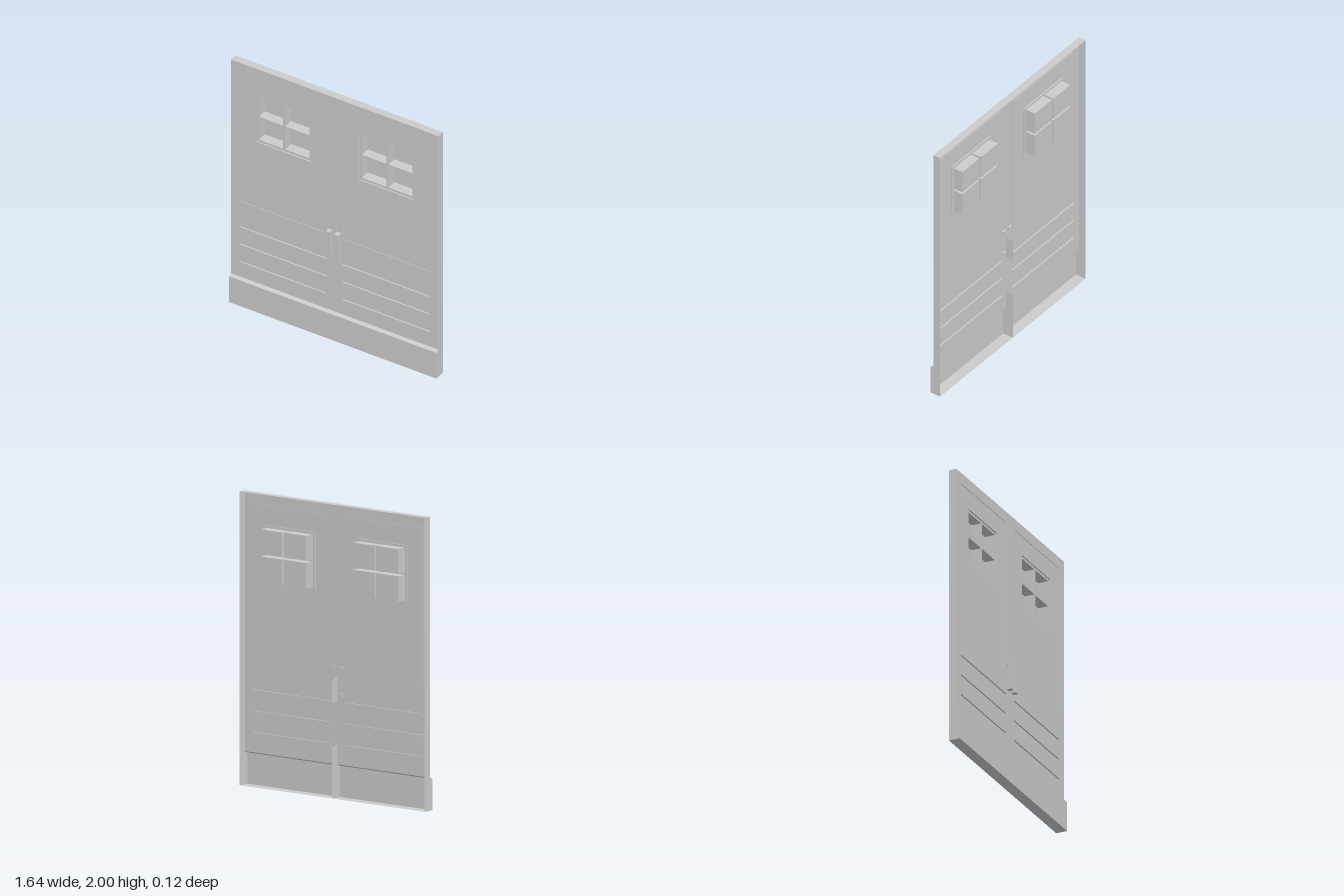
import * as THREE from 'three';

const W = 0.82, H = 2, FRONT = 0.025, BACK = -0.031, KICK = 0.05;
const material = new THREE.MeshStandardMaterial({ color: 0xcccccc, side: THREE.DoubleSide });

// Rectangles are [x0, y0, x1, y1]; corners run counter-clockwise
const corners = ([x0, y0, x1, y1]) => [[x0, y0], [x1, y0], [x1, y1], [x0, y1]];
const toPath = (points, Type) => new Type(points.map(([x, y]) => new THREE.Vector2(x, y)));

function add(parent, name, geometry) {
  const mesh = new THREE.Mesh(geometry, material);
  mesh.name = name;
  parent.add(mesh);
  return mesh;
}

// Flat sheet facing +z with rectangular openings
function sheet(parent, name, rect, z, holes = []) {
  const shape = toPath(corners(rect), THREE.Shape);
  shape.holes = holes.map((h) => toPath(corners(h).reverse(), THREE.Path));
  return add(parent, name, new THREE.ShapeGeometry(shape).translate(0, 0, z));
}

// One flat-shaded quad per set of four corners
function quads(parent, name, list) {
  const positions = list.flatMap(([a, b, c, d]) => [a, b, c, a, c, d].flat());
  const geometry = new THREE.BufferGeometry();
  geometry.setAttribute('position', new THREE.Float32BufferAttribute(positions, 3));
  geometry.computeVertexNormals();
  return add(parent, name, geometry);
}

// Recess sunk from z0 to z1: four inward walls and a floor
function recess(parent, name, rect, z0, z1, holes) {
  const group = new THREE.Group();
  group.name = name;
  parent.add(group);
  const c = corners(rect);
  quads(group, name + 'Walls', c.map((p, i) => {
    const q = c[(i + 1) % 4];
    return [[...p, z0], [...q, z0], [...q, z1], [...p, z1]];
  }));
  sheet(group, name + 'Floor', rect, z1, holes);
}

// Upright wall across the thickness at a given x, from [z, y] points
function crossWall(parent, name, x, profile) {
  const shape = toPath(profile.map(([z, y]) => [-z, y]), THREE.Shape);
  const geometry = new THREE.ShapeGeometry(shape).rotateY(Math.PI / 2);
  if (x < 0) geometry.scale(-1, 1, 1).setIndex([...geometry.index.array].reverse());
  if (x < 0) geometry.computeVertexNormals();
  add(parent, name, geometry.translate(x, 0, 0));
}

export function createModel() {
  const model = new THREE.Group();
  model.name = 'doubleDoor';

  const mirror = ([x0, y0, x1, y1], s) => (s > 0 ? [x0, y0, x1, y1] : [-x1, y0, -x0, y1]);
  const panel = [0.065, 0.85, 0.753, 1.92];
  const windowFrame = [0.187, 1.39, 0.625, 1.785];
  const slots = [0.355, 0.5, 0.645].map((y) => [0.06, y - 0.009, 0.753, y + 0.009]);
  const panes = [];
  for (const [x0, x1] of [[0.207, 0.4], [0.416, 0.608]])
    for (const [y0, y1] of [[1.408, 1.583], [1.599, 1.768]]) panes.push([x0, y0, x1, y1]);

  // Thin front skin
  const openings = [1, -1].flatMap((s) => [panel, ...slots].map((r) => mirror(r, s)));
  sheet(model, 'frontSkin', [-W, 0.225, W, H], FRONT, openings);

  // Kick plate with a bevelled upper edge
  sheet(model, 'kickPlate', [-W, 0, W, 0.213], KICK);
  quads(model, 'kickPlateBevel', [
    [[-W, 0.213, KICK], [W, 0.213, KICK], [W, 0.225, FRONT], [-W, 0.225, FRONT]],
  ]);

  // Outer rim, open at the back
  quads(model, 'topAndBottomRim', [
    [[-W, H, FRONT], [W, H, FRONT], [W, H, BACK], [-W, H, BACK]],
    [[-W, 0, BACK], [W, 0, BACK], [W, 0, KICK], [-W, 0, KICK]],
  ]);
  const rim = [[KICK, 0], [BACK, 0], [BACK, H], [FRONT, H], [FRONT, 0.225], [KICK, 0.213]];
  crossWall(model, 'leftRim', W, rim);
  crossWall(model, 'rightRim', -W, rim);

  // Centre stiffeners behind the meeting edge
  crossWall(model, 'lowerStiffener', 0,
    [[KICK, 0], [BACK, 0], [BACK, 0.35], [FRONT, 0.37], [FRONT, 0.225], [KICK, 0.213]]);
  crossWall(model, 'middleStiffener', 0,
    [[FRONT, 0.65], [BACK, 0.65], [BACK, 0.8], [FRONT, 0.83]]);

  for (const s of [1, -1]) {
    const leaf = new THREE.Group();
    leaf.name = s > 0 ? 'leftLeaf' : 'rightLeaf';
    model.add(leaf);

    // Recessed panel, window ledge and deep window panes
    const panelZ = FRONT - 0.004, ledgeZ = panelZ - 0.009;
    recess(leaf, 'panel', mirror(panel, s), FRONT, panelZ, [mirror(windowFrame, s)]);
    recess(leaf, 'windowFrame', mirror(windowFrame, s), panelZ, ledgeZ, panes.map((p) => mirror(p, s)));
    for (const p of panes) recess(leaf, 'windowPane', mirror(p, s), ledgeZ, -0.061);

    // Grooves below the panel
    for (const r of slots) recess(leaf, 'groove', mirror(r, s), FRONT, FRONT - 0.01);

    // Pull handle on two posts that pass through the skin
    const handle = new THREE.Group();
    handle.name = 'handle';
    handle.position.set(s * 0.033, 0.792, 0);
    leaf.add(handle);
    add(handle, 'grip', new THREE.BoxGeometry(0.034, 0.206, 0.026)).position.z = 0.048;
    for (const t of [1, -1])
      add(handle, 'post', new THREE.BoxGeometry(0.034, 0.026, 0.03)).position.set(0, t * 0.09, 0.028);
  }
  return model;
}
